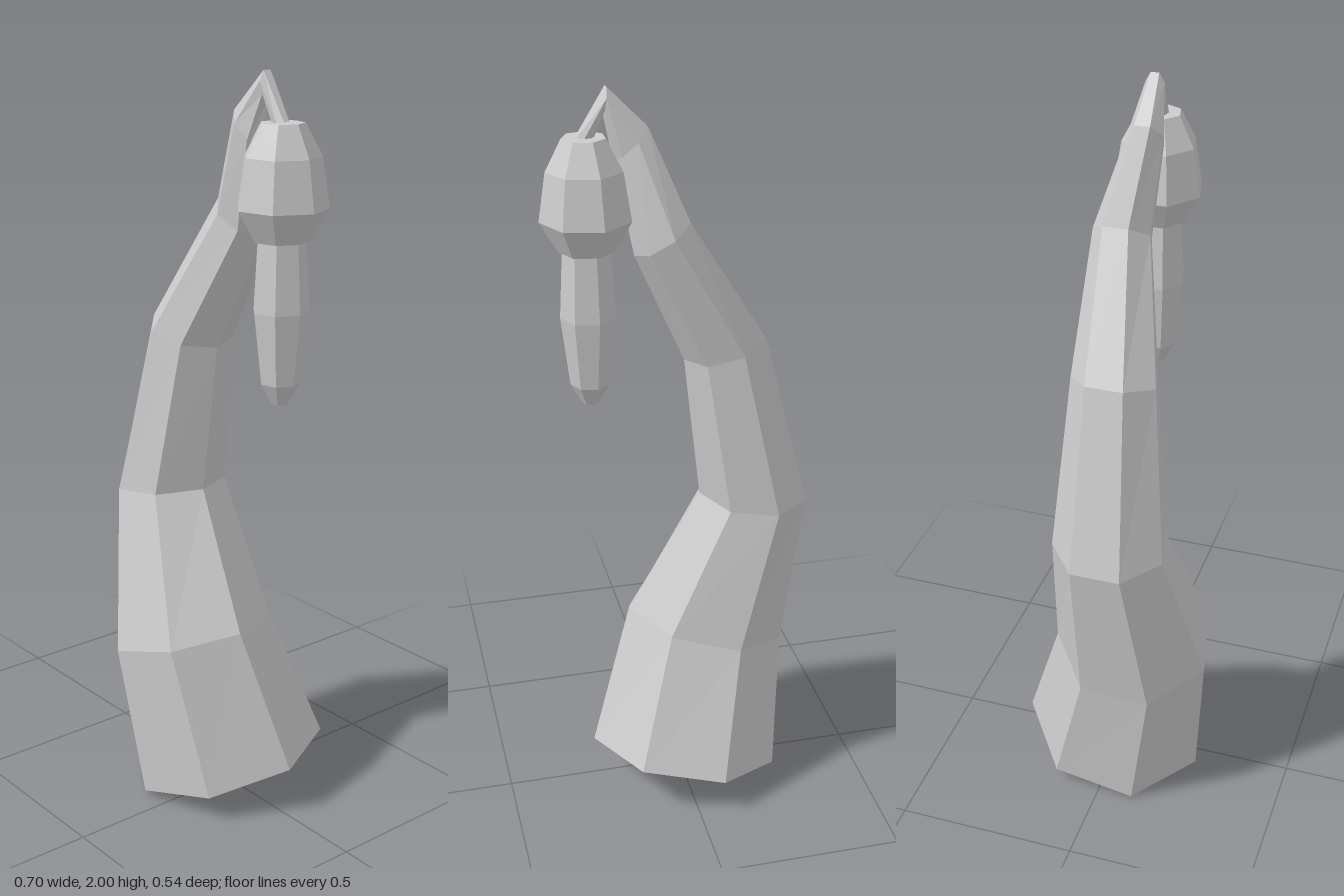
import * as THREE from 'three';

const SIDES = 7;

// Tube through seven-sided rings: [cx, cy, cz, rx, rz, y slope along x, y slope along z]
function ringTube(rings) {
  const pos = [], index = [];
  for (const [cx, cy, cz, rx, rz, sx, sz] of rings) {
    for (let j = 0; j < SIDES; j++) {
      const a = (j / SIDES) * Math.PI * 2;
      const dx = rx * Math.cos(a), dz = rz * Math.sin(a);
      pos.push(cx + dx, cy + sx * dx + sz * dz, cz + dz);
    }
  }
  for (let i = 0; i < rings.length - 1; i++) {
    for (let j = 0; j < SIDES; j++) {
      const k = (j + 1) % SIDES, a = i * SIDES, b = a + SIDES;
      index.push(a + k, a + j, b + j, a + k, b + j, b + k);
    }
  }
  const geo = new THREE.BufferGeometry();
  geo.setAttribute('position', new THREE.Float32BufferAttribute(pos, 3));
  geo.setIndex(index);
  geo.computeVertexNormals();
  return geo;
}

export function createModel() {
  const group = new THREE.Group();
  const grey = new THREE.MeshStandardMaterial({ color: 0xcccccc, flatShading: true, side: THREE.DoubleSide });
  grey.name = 'light grey';

  // Curved stalk, open at the base, bending over at the tip into a thin hanger
  const stalk = new THREE.Mesh(ringTube([
    [-0.01, 0.07, -0.015, 0.265, 0.262, 0.22, -0.176],
    [-0.09, 0.455, 0.06, 0.22, 0.22, 0.27, -0.06],
    [-0.215, 0.855, 0.03, 0.15, 0.155, 0.09, 0],
    [-0.128, 1.305, 0.018, 0.11, 0.115, -0.28, 0],
    [0.047, 1.628, -0.019, 0.072, 0.077, -0.62, 0],
    [0.116, 1.86, 0.019, 0.045, 0.046, -0.95, 0],
    [0.179, 1.967, 0.02, 0.004, 0.025, -9, 0],
    [0.232, 1.872, 0.02, -0.019, 0.02, 0.6, 0],
  ]), grey);
  stalk.name = 'stalk';
  group.add(stalk);

  // Hanging bud: faceted cup above, slim pod below
  const hang = (name, profile) => {
    const points = profile.map(([r, y]) => new THREE.Vector2(r, y));
    const mesh = new THREE.Mesh(new THREE.LatheGeometry(points, SIDES, Math.PI / 2), grey);
    mesh.name = name;
    mesh.position.set(0.232, 0, 0.018);
    group.add(mesh);
  };
  hang('cup', [[0, 1.6], [0.072, 1.595], [0.118, 1.675], [0.098, 1.8], [0.056, 1.88], [0, 1.88]]);
  hang('pod', [[0, 1.18], [0.022, 1.18], [0.052, 1.235], [0.073, 1.42], [0.062, 1.61]]);

  return group;
}
